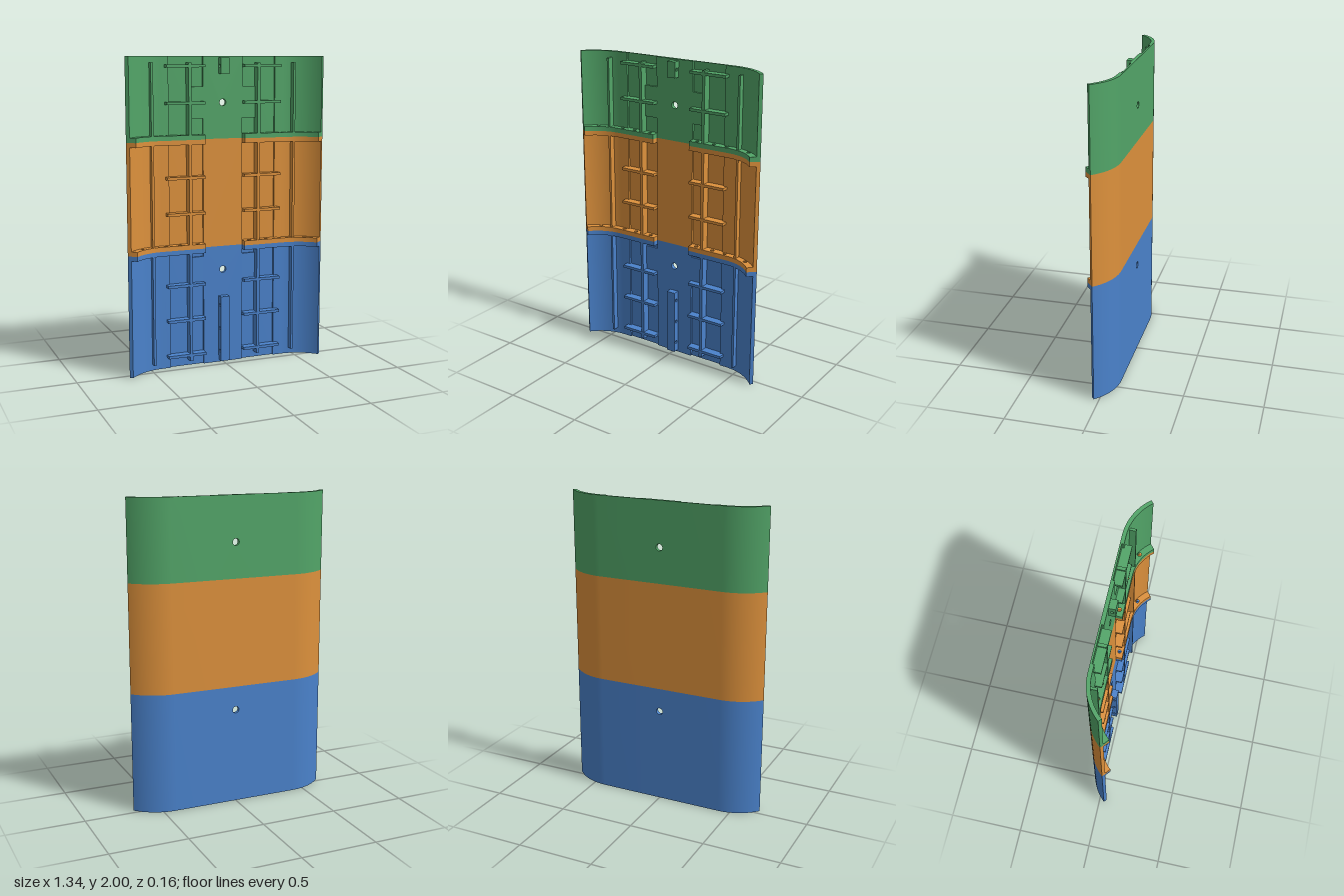
import * as THREE from 'three';
import { toCreasedNormals } from 'three/addons/utils/BufferGeometryUtils.js';

const BACK = -0.081, ARC_X = 0.42, R = 0.33, SWEEP = 0.86; // outer skin outline
const SKIN = 0.024, POCKET = 0.011, FLANGE = 0.066; // depths measured from the back
const CORE = 0.135, POCKET_END = 0.365;

const mat = (name, color) => {
  const m = new THREE.MeshStandardMaterial({ color });
  m.name = name;
  return m;
};

// Points along the curved side at a depth inside the outer skin
function arc(depth) {
  const pts = [];
  for (let i = 0; i <= 20; i++) {
    const a = (SWEEP * i) / 20;
    pts.push([ARC_X + (R - depth) * Math.sin(a), BACK + R - (R - depth) * Math.cos(a)]);
  }
  return pts;
}

// Extrude an (x, z) outline upward from y0 to y1, with optional round holes
function upright(points, side, y0, y1, holes = []) {
  const shape = new THREE.Shape(points.map(([x, z]) => new THREE.Vector2(side * x, -z)));
  for (const [x, z] of holes) {
    shape.holes.push(new THREE.Path().absarc(side * x, -z, 0.012, 0, Math.PI * 2, true));
  }
  const geo = new THREE.ExtrudeGeometry(shape, { depth: y1 - y0, bevelEnabled: false, curveSegments: 10 });
  geo.rotateX(-Math.PI / 2).translate(0, y0, 0);
  return toCreasedNormals(geo, 0.4);
}

// Box given by its limits
function block(x0, x1, y0, y1, z0, z1) {
  return new THREE.BoxGeometry(Math.abs(x1 - x0), y1 - y0, z1 - z0)
    .translate((x0 + x1) / 2, (y0 + y1) / 2, (z0 + z1) / 2);
}

function rectangle(x0, y0, x1, y1) {
  return new THREE.Shape([[x0, y0], [x1, y0], [x1, y1], [x0, y1]].map(p => new THREE.Vector2(...p)));
}

// Flat middle panel with an optional bolt hole
function middle(y0, y1, holeY) {
  const shape = rectangle(-CORE, y0, CORE, y1);
  if (holeY) shape.holes.push(new THREE.Path().absarc(0, holeY, 0.022, 0, Math.PI * 2, true));
  const geo = new THREE.ExtrudeGeometry(shape, { depth: SKIN, bevelEnabled: false, curveSegments: 16 });
  return toCreasedNormals(geo.translate(0, 0, BACK), 0.5);
}

// Centre block drilled from side to side
function drilledBlock(y0, y1, holes) {
  const shape = rectangle(0.015, y0, 0.059, y1);
  for (const y of holes) shape.holes.push(new THREE.Path().absarc(0.036, y, 0.011, 0, Math.PI * 2, true));
  const geo = new THREE.ExtrudeGeometry(shape, { depth: 0.06, bevelEnabled: false, curveSegments: 10 });
  geo.rotateY(-Math.PI / 2).rotateY(Math.PI).translate(-0.03, 0, 0);
  geo.computeBoundingBox();
  const b = geo.boundingBox;
  geo.translate(-(b.min.x + b.max.x) / 2, 0, -0.015 - b.max.z);
  return toCreasedNormals(geo, 0.5);
}

const sections = [
  { name: 'lowerSection', material: ['blue', 0x4a82cb], y0: 0, y1: 0.78, ribs: [0.04, 0.78],
    cross: [0.08, 0.315, 0.545], flanges: [[0.75, 0.78]], bolt: 0.625, fill: [0.53, 0.72],
    pad: [0.015, 0.45, [0.08, 0.235, 0.39]] },
  { name: 'middleSection', material: ['orange', 0xdd913c], y0: 0.78, y1: 1.48, ribs: [0.78, 1.48],
    cross: [1.01, 1.24], flanges: [[0.78, 0.81], [1.45, 1.48]] },
  { name: 'upperSection', material: ['green', 0x52a568], y0: 1.48, y1: 2, ribs: [1.48, 1.96],
    cross: [1.71, 1.94], flanges: [[1.48, 1.51]], bolt: 1.71, fill: [1.61, 1.81],
    pad: [1.89, 1.99, [1.94]] },
];

export function createModel() {
  const model = new THREE.Group();
  model.name = 'curvedPanel';

  // Side skin with a shallow pocket, and the deep flange at each joint
  const skinOutline = [
    [CORE, BACK], ...arc(0), ...arc(SKIN).reverse(),
    [POCKET_END, BACK + SKIN], [POCKET_END, BACK + POCKET], [CORE, BACK + POCKET],
  ];
  const flangeOutline = [
    [CORE, BACK + POCKET], ...arc(POCKET), ...arc(FLANGE).reverse(), [CORE, BACK + FLANGE],
  ];
  const flangeHoles = [[0.18, -0.042], [0.3, -0.042], [0.395, -0.042], [0.565, -0.003]];

  for (const s of sections) {
    const group = new THREE.Group();
    group.name = s.name;
    model.add(group);
    const material = mat(...s.material);
    const add = (name, geo) => {
      const mesh = new THREE.Mesh(geo, material);
      mesh.name = name;
      group.add(mesh);
    };

    add('middlePanel', middle(s.y0, s.y1, s.bolt));
    if (s.pad) add('centreBlock', drilledBlock(...s.pad));

    for (const side of [-1, 1]) {
      const label = side > 0 ? 'left' : 'right';
      add(label + 'Skin', upright(skinOutline, side, s.y0, s.y1));
      for (const [a, b] of s.flanges) add(label + 'Flange', upright(flangeOutline, side, a, b, flangeHoles));

      // Long upright ribs
      add(label + 'InnerRib', block(side * 0.225, side * 0.245, ...s.ribs, BACK + 0.009, -0.017));
      add(label + 'OuterRib', block(side * 0.478, side * 0.493, ...s.ribs, -0.06, -0.012));

      // Short cross ribs
      for (const y of s.cross) {
        add(label + 'CrossRib', block(side * CORE, side * 0.39, y - 0.009, y + 0.009, BACK + 0.009, -0.015));
      }

      // Raised part of the pocket beside the bolt hole
      if (s.fill) add(label + 'PocketStep', block(side * CORE, side * 0.23, ...s.fill, BACK + 0.005, BACK + SKIN));
    }
  }
  return model;
}
